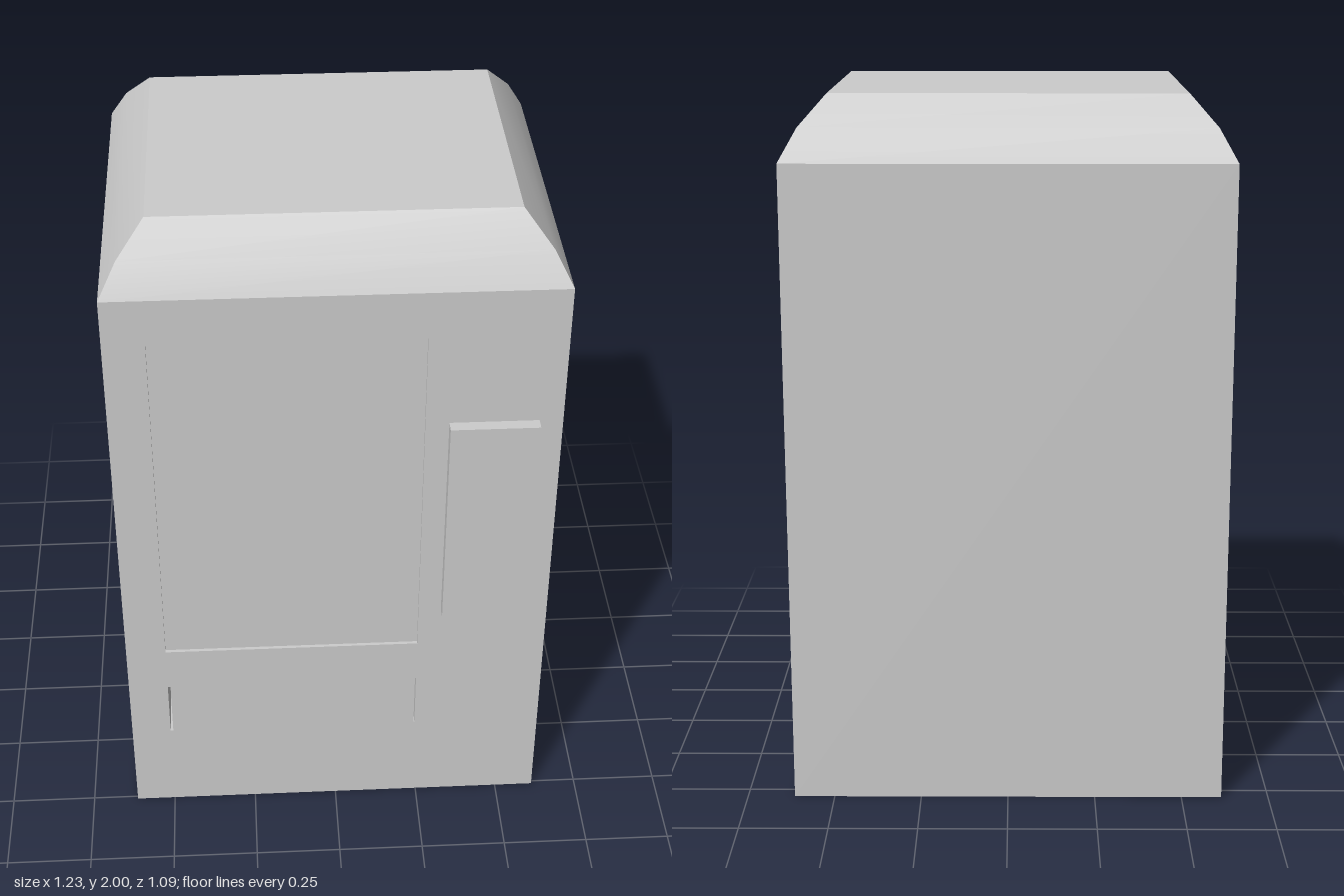
import * as THREE from 'three';
import { toCreasedNormals } from 'three/addons/utils/BufferGeometryUtils.js';

const material = new THREE.MeshStandardMaterial({ color: 0xcccccc, side: THREE.DoubleSide });

const FRONT = 0.51, BACK = -0.545, HALF = 0.615, SHOULDER = 1.825;
const WINDOW = { x0: -0.5, x1: 0.24, y0: 0.61, y1: 1.69 };
const SLOT = { x0: -0.5, x1: 0.24, y0: 0.29, y1: 0.47 };

function add(group, name, geometry) {
  const mesh = new THREE.Mesh(geometry, material);
  mesh.name = name;
  group.add(mesh);
  return mesh;
}

// Box given by its two extreme corners
function block(x0, x1, y0, y1, z0, z1) {
  return new THREE.BoxGeometry(x1 - x0, y1 - y0, z1 - z0)
    .translate((x0 + x1) / 2, (y0 + y1) / 2, (z0 + z1) / 2);
}

// Box without its front (+z) side
function openBlock(...corners) {
  const geometry = block(...corners);
  const index = Array.from(geometry.index.array).filter((_, i) => i < 24 || i >= 30);
  geometry.clearGroups();
  geometry.setIndex(index);
  return geometry;
}

function rectangle(path, { x0, x1, y0, y1 }) {
  path.moveTo(x0, y0);
  path.lineTo(x1, y0);
  path.lineTo(x1, y1);
  path.lineTo(x0, y1);
  path.closePath();
  return path;
}

// Side walls, back wall and bevelled roof from stacked rectangles; open below and in front
function shellGeometry() {
  const levels = [[0, 0], [SHOULDER, 0], [1.915, 0.05], [2, 0.125]]; // height, inset
  const positions = [], index = [];
  for (const [y, inset] of levels) {
    const x = HALF - inset, f = FRONT - inset, b = BACK + inset;
    positions.push(-x, y, f, x, y, f, x, y, b, -x, y, b);
  }
  for (let level = 0; level < levels.length - 1; level++) {
    for (let side = 0; side < 4; side++) {
      if (level === 0 && side === 0) continue; // front wall is a separate panel
      const a = level * 4 + side, b = level * 4 + (side + 1) % 4;
      index.push(a, b, b + 4, a, b + 4, a + 4);
    }
  }
  const t = (levels.length - 1) * 4;
  index.push(t, t + 1, t + 2, t, t + 2, t + 3);
  const geometry = new THREE.BufferGeometry();
  geometry.setAttribute('position', new THREE.Float32BufferAttribute(positions, 3));
  geometry.setIndex(index);
  return toCreasedNormals(geometry, 0.4);
}

export function createModel() {
  const group = new THREE.Group();
  group.name = 'vendingMachine';

  add(group, 'cabinetShell', shellGeometry());

  // Front wall with openings for the window and the delivery slot
  const wall = rectangle(new THREE.Shape(), { x0: -HALF, x1: HALF, y0: 0, y1: SHOULDER });
  wall.holes.push(rectangle(new THREE.Path(), WINDOW), rectangle(new THREE.Path(), SLOT));
  add(group, 'frontWall', new THREE.ShapeGeometry(wall).translate(0, 0, FRONT));

  // Compartments inside the cabinet
  add(group, 'displayCompartment',
    openBlock(WINDOW.x0, WINDOW.x1, WINDOW.y0, WINDOW.y1, 0.25, FRONT));
  add(group, 'deliveryCompartment',
    openBlock(SLOT.x0, SLOT.x1, SLOT.y0, 0.605, 0.29, FRONT));

  // Slightly recessed window pane
  add(group, 'windowPane',
    block(WINDOW.x0, WINDOW.x1, WINDOW.y0, WINDOW.y1, FRONT - 0.02, FRONT - 0.01));

  // Flush delivery flap with a narrow gap at each end
  add(group, 'deliveryFlap',
    block(SLOT.x0 + 0.008, SLOT.x1 - 0.003, SLOT.y0, SLOT.y1, FRONT - 0.015, FRONT));

  // Raised payment panel
  add(group, 'paymentPanel', block(0.305, 0.55, 0.74, 1.41, FRONT, 0.545));

  return group;
}
